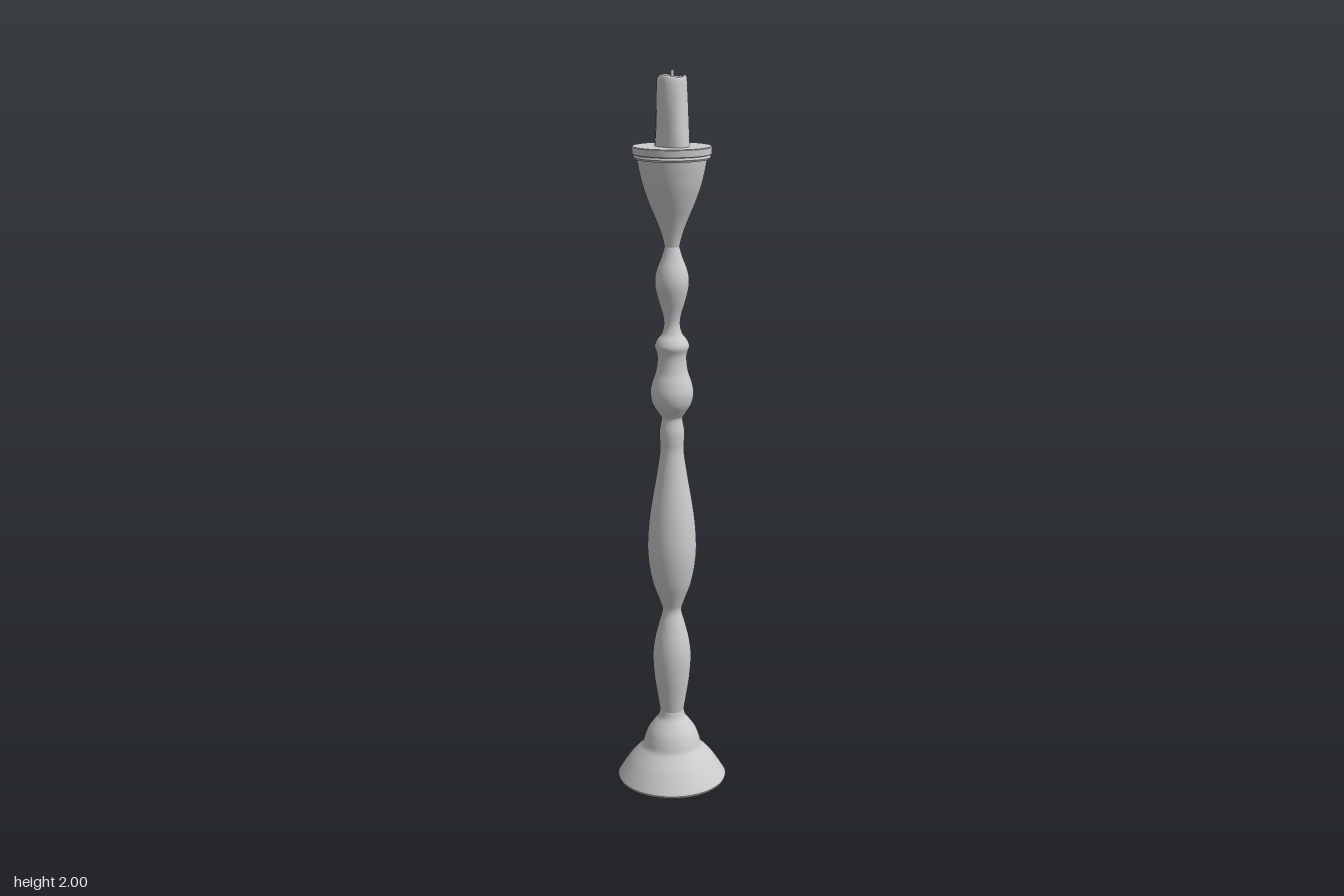
import * as THREE from 'three';

const material = new THREE.MeshStandardMaterial({ color: 0xcccccc, side: THREE.DoubleSide });

function add(group, name, geometry) {
  const mesh = new THREE.Mesh(geometry, material);
  mesh.name = name;
  group.add(mesh);
  return mesh;
}

// Profiles are lists of [radius, height], from bottom to top
const toPoints = (pairs) => pairs.map(([r, y]) => new THREE.Vector2(r, y));

// Smooth turned section through the given radii
function turned(pairs, steps) {
  const curve = new THREE.SplineCurve(toPoints(pairs));
  return new THREE.LatheGeometry(curve.getPoints(steps), 48);
}

// Hard-edged ring: each profile segment is its own strip of faces
function addRings(group, name, pairs) {
  const part = new THREE.Group();
  part.name = name;
  for (let i = 0; i < pairs.length - 1; i++) {
    add(part, name + 'Face' + (i + 1), new THREE.LatheGeometry(toPoints([pairs[i], pairs[i + 1]]), 48));
  }
  group.add(part);
}

// Bump of wax around one direction, wrapping across the full circle
function drip(angle, centre, width) {
  const d = Math.atan2(Math.sin(angle - centre), Math.cos(angle - centre));
  return Math.exp(-(d * d) / (width * width));
}

// Candle: turned wax column pushed out by drips and topped by a shallow bowl
function candleGeometry() {
  const profile = [
    [0.044, 1.803], [0.043, 1.82], [0.042, 1.85], [0.041, 1.88], [0.0405, 1.91], [0.04, 1.94],
    [0.04, 1.965], [0.039, 1.978], [0.036, 1.985], [0.031, 1.984], [0.024, 1.979], [0.012, 1.975], [0, 1.974],
  ];
  const geometry = new THREE.LatheGeometry(toPoints(profile), 40);
  const pos = geometry.attributes.position;
  for (let i = 0; i < pos.count; i++) {
    const x = pos.getX(i), y = pos.getY(i), z = pos.getZ(i);
    const r = Math.hypot(x, z);
    if (r < 0.001) continue;
    const a = Math.atan2(z, x);
    const low = THREE.MathUtils.clamp((1.97 - y) / 0.15, 0, 1);
    const grow = 0.015 * drip(a, 1.4, 0.6) * low
      + 0.009 * drip(a, -2.3, 0.35) * Math.sqrt(low)
      + 0.007 * drip(a, -1.4, 0.5) * low
      + 0.004 * drip(a, 0, 0.5) * low
      + 0.0008 * Math.sin(a * 5 + y * 30);
    const s = (r + grow) / r;
    const rim = y > 1.96 ? 0.003 * Math.sin(a * 3 + 1) * (r / 0.04) : 0;
    pos.setXYZ(i, x * s, y + rim, z * s);
  }
  geometry.computeVertexNormals();
  // Match the normals on both sides of the lathe seam
  const n = geometry.attributes.normal, rows = profile.length, last = pos.count - rows;
  for (let j = 0; j < rows; j++) {
    const v = new THREE.Vector3().fromBufferAttribute(n, j)
      .add(new THREE.Vector3().fromBufferAttribute(n, last + j)).normalize();
    n.setXYZ(j, v.x, v.y, v.z);
    n.setXYZ(last + j, v.x, v.y, v.z);
  }
  return geometry;
}

export function createModel() {
  const model = new THREE.Group();
  model.name = 'candlestick';

  // Flat underside and thin foot rim
  addRings(model, 'footRim', [[0, 0], [0.153, 0], [0.155, 0.006], [0.151, 0.013]]);

  // Bell-shaped foot
  add(model, 'foot', turned([
    [0.151, 0.013], [0.138, 0.034], [0.12, 0.06], [0.1, 0.083], [0.085, 0.1], [0.078, 0.122],
    [0.068, 0.147], [0.052, 0.17], [0.039, 0.187], [0.034, 0.207],
  ], 50));

  // Turned stem: lower vase, long baluster, collars and bulbs
  add(model, 'stem', turned([
    [0.034, 0.207], [0.041, 0.25], [0.05, 0.31], [0.054, 0.37], [0.049, 0.42], [0.037, 0.47],
    [0.027, 0.51], [0.035, 0.54], [0.053, 0.59], [0.064, 0.645], [0.068, 0.7], [0.064, 0.77],
    [0.054, 0.84], [0.042, 0.91], [0.033, 0.975], [0.034, 1.01], [0.034, 1.035], [0.029, 1.068],
    [0.037, 1.084], [0.053, 1.11], [0.059, 1.14], [0.054, 1.17], [0.044, 1.2], [0.04, 1.23],
    [0.041, 1.25], [0.047, 1.27], [0.041, 1.287], [0.028, 1.305], [0.022, 1.33], [0.026, 1.36],
    [0.038, 1.4], [0.046, 1.44], [0.042, 1.475], [0.029, 1.51], [0.02, 1.54],
  ], 210));

  // Flared cup
  add(model, 'cup', turned([
    [0.02, 1.54], [0.028, 1.572], [0.042, 1.61], [0.061, 1.655], [0.077, 1.7], [0.087, 1.74], [0.093, 1.772],
  ], 36));

  // Grooved drip plate
  addRings(model, 'dripPlate', [
    [0.093, 1.772], [0.1, 1.772], [0.103, 1.777], [0.1, 1.783], [0.105, 1.785], [0.106, 1.803], [0.104, 1.805], [0, 1.805],
  ]);

  add(model, 'candle', candleGeometry());

  // Short square wick
  add(model, 'wick', new THREE.BoxGeometry(0.009, 0.03, 0.009)).position.y = 1.985;

  return model;
}
